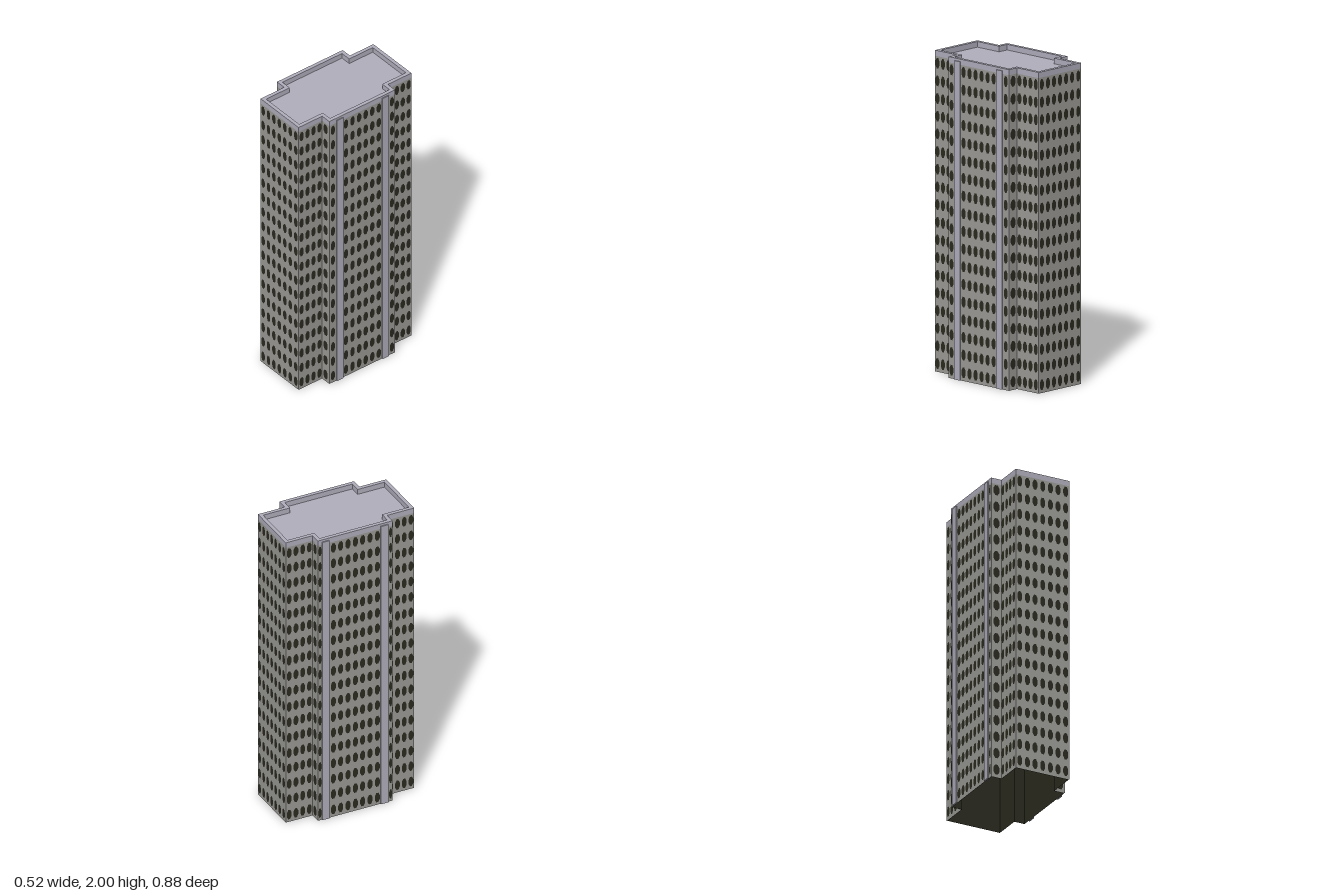
import * as THREE from 'three';
import { mergeGeometries } from 'three/addons/utils/BufferGeometryUtils.js';

const A = 0.185, B = 0.255, C = 0.438; // wing half width, core half width/depth, wing end
const WALL_TOP = 1.965, ROWS = 18;

// Cross-shaped footprint as [x, z] corners, optionally inset
function footprint(inset = 0) {
  const a = A - inset, b = B - inset, c = C - inset;
  return [[-a, c], [a, c], [a, b], [b, b], [b, -b], [a, -b],
    [a, -c], [-a, -c], [-a, -b], [-b, -b], [-b, b], [-a, b]];
}

const outline = (inset) => footprint(inset).map(([x, z]) => new THREE.Vector2(x, -z));

// Places a flat geometry (facing +z) on each footprint edge
function perEdge(inset, make) {
  const pts = footprint(inset);
  return pts.flatMap(([x, z], i) => {
    const [x2, z2] = pts[(i + 1) % pts.length];
    const dx = x2 - x, dz = z2 - z;
    return make(Math.hypot(dx, dz), i).map((g) =>
      g.rotateY(Math.atan2(-dz, dx)).translate((x + x2) / 2, 0, (z + z2) / 2));
  });
}

// Evenly spaced window columns: [offset, half width]
const columns = (n, step, half = 0.017) =>
  Array.from({ length: n }, (_, i) => [(i - (n - 1) / 2) * step, half]);

// Octagonal window pane
function pane(x, y, halfW) {
  const k = 1 / Math.cos(Math.PI / 8);
  return new THREE.CircleGeometry(1, 8, Math.PI / 8)
    .scale(halfW * k, 0.033 * k, 1).translate(x, y, 0.0015);
}

export function createModel() {
  const group = new THREE.Group();
  const concrete = new THREE.MeshStandardMaterial({ color: 0x9d9c98 });
  concrete.name = 'grey wall';
  const trim = new THREE.MeshStandardMaterial({ color: 0xb2b0be });
  trim.name = 'pale lavender trim';
  const dark = new THREE.MeshStandardMaterial({ color: 0x2b2b20, side: THREE.DoubleSide });
  dark.name = 'dark glass';

  const add = (name, geometry, material) => {
    const mesh = new THREE.Mesh(geometry, material);
    mesh.name = name;
    group.add(mesh);
    return mesh;
  };
  const panel = (w, h) => [new THREE.PlaneGeometry(w, h).translate(0, h / 2, 0)];

  // Outer walls and the dark lining seen through the open base
  add('walls', mergeGeometries(perEdge(0, (w) => panel(w, WALL_TOP))), concrete);
  add('innerLining', mergeGeometries(perEdge(0.004, (w) => panel(w, WALL_TOP - 0.005))), dark);

  // Window columns for each kind of wall
  const end = columns(7, 0.053);
  const wing = columns(4, 0.046, 0.016);
  const flank = [[0, 0.021]];
  const leftSide = [...columns(6, 0.051), [-0.229, 0.016], [0.229, 0.016]];
  const rightSide = [...columns(7, 0.05), [-0.241, 0.01], [0.241, 0.01]];
  const layout = [end, wing, flank, leftSide, flank, wing, end, wing, flank, rightSide, flank, wing];
  const windows = perEdge(0, (w, i) => layout[i].flatMap(([x, half]) =>
    Array.from({ length: ROWS }, (_, r) => pane(x, 0.052 + r * 0.11, half))));
  add('windows', mergeGeometries(windows), dark);

  // Roof deck and parapet
  add('roofDeck', new THREE.ShapeGeometry(new THREE.Shape(outline(0.01)))
    .rotateX(-Math.PI / 2).translate(0, WALL_TOP, 0), trim);
  const rim = new THREE.Shape(outline(0));
  rim.holes.push(new THREE.Path(outline(0.024)));
  add('parapet', new THREE.ExtrudeGeometry(rim, { depth: 2 - WALL_TOP, bevelEnabled: false })
    .rotateX(-Math.PI / 2).translate(0, WALL_TOP, 0), trim);

  // Full-height pilasters, two on each long side
  for (const [x, z] of [[1, 0.177], [1, -0.178], [-1, 0.198], [-1, -0.203]]) {
    add('pilaster', new THREE.BoxGeometry(0.01, 1.985, 0.049), trim)
      .position.set(x * 0.257, 0.9925, z);
  }
  return group;
}
